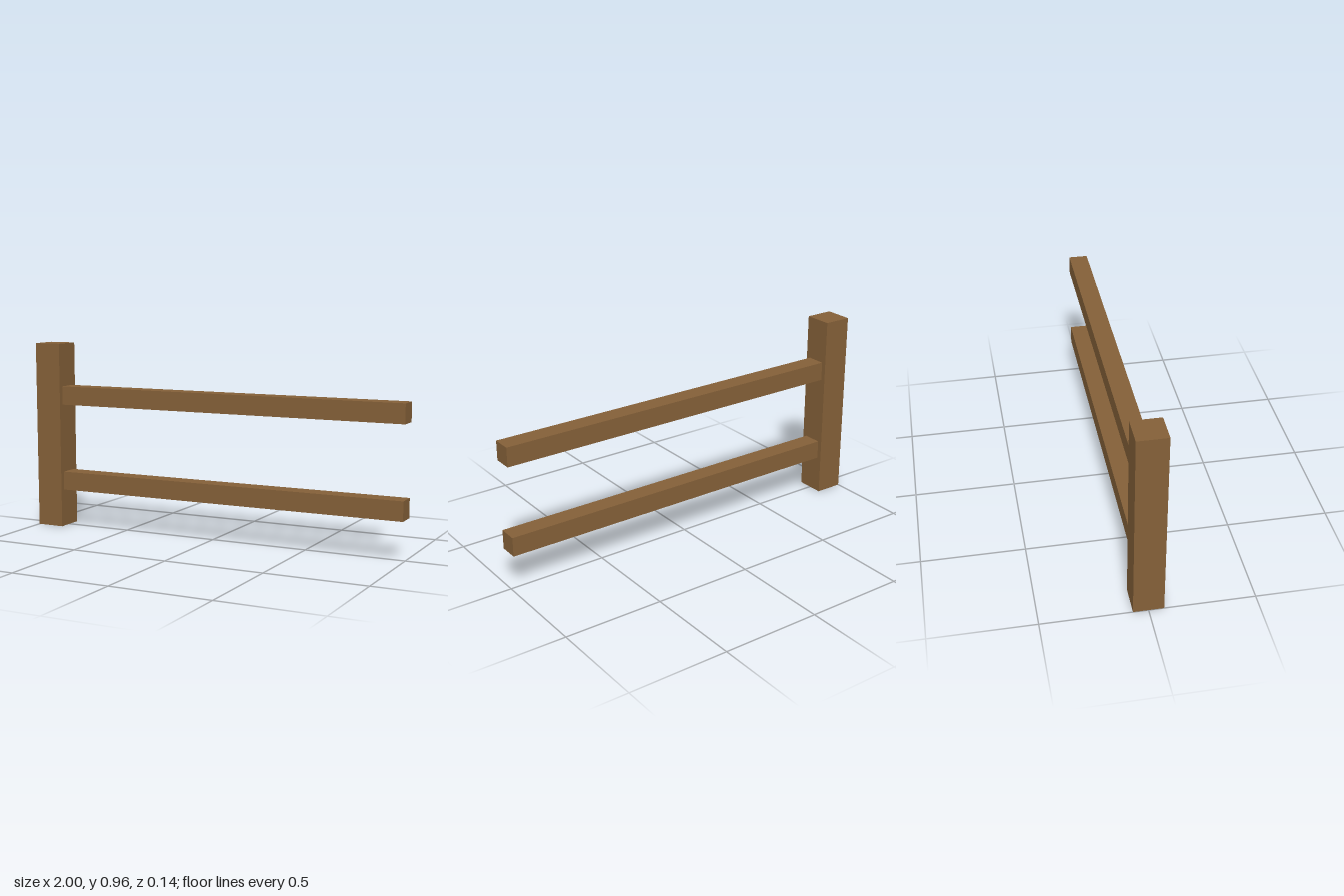
import * as THREE from 'three';

export function createModel() {
  const group = new THREE.Group();
  group.name = 'fenceSection';
  const wood = new THREE.MeshStandardMaterial({ color: 0x846038 });

  // Square timber placed by its left end, base height and size
  function timber(name, x, y, width, height, depth) {
    const mesh = new THREE.Mesh(new THREE.BoxGeometry(width, height, depth), wood);
    mesh.name = name;
    mesh.position.set(x + width / 2, y + height / 2, 0);
    group.add(mesh);
  }

  // Upright post at one end
  const postWidth = 0.144;
  timber('post', -1, 0, postWidth, 0.964, postWidth);

  // Two horizontal rails running from the post's inner face
  const railSize = 0.096;
  const railStart = -1 + postWidth;
  const rails = { lowerRail: 0.194, upperRail: 0.645 };
  for (const [name, y] of Object.entries(rails)) {
    timber(name, railStart, y, 1 - railStart, railSize, railSize);
  }

  return group;
}
